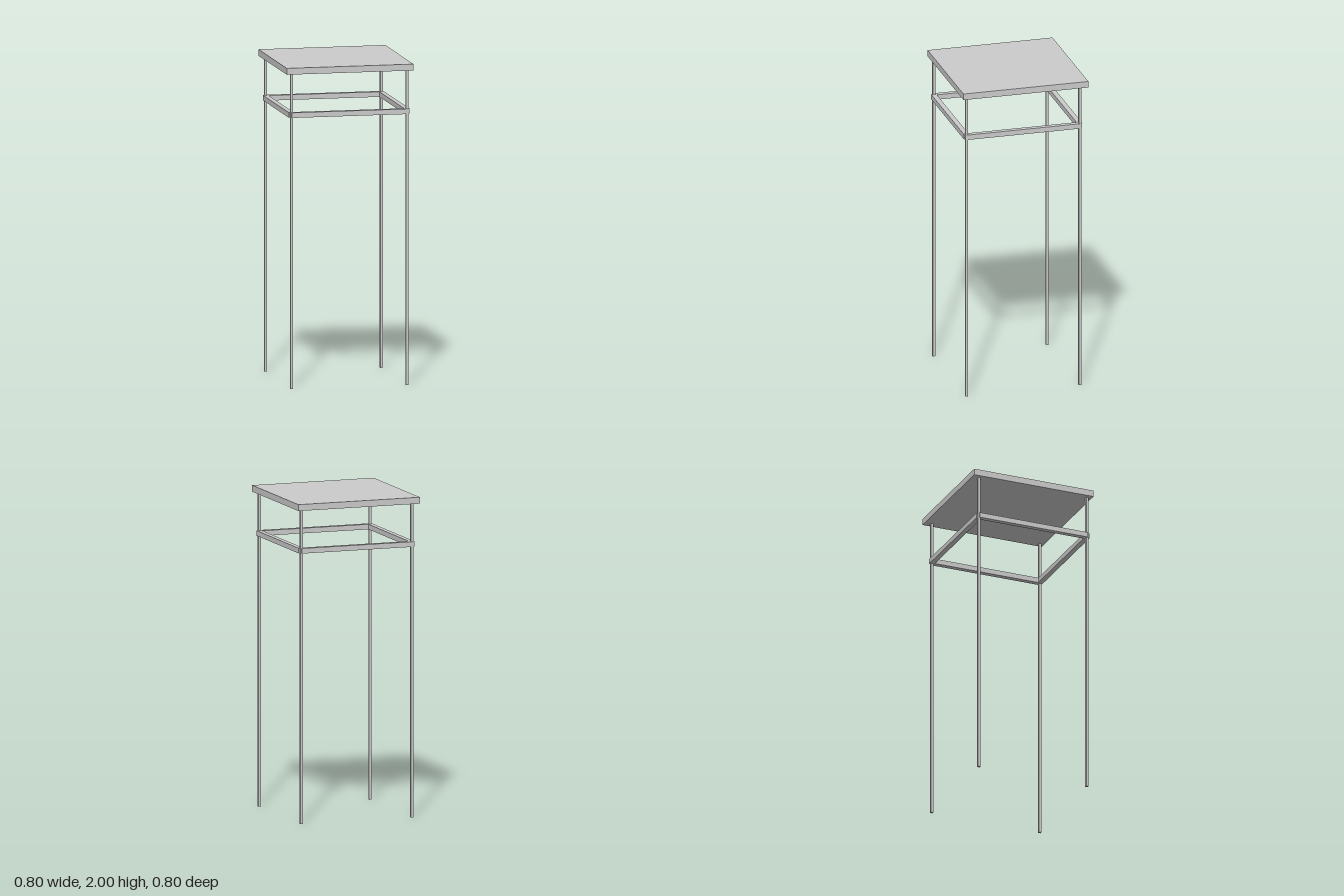
import * as THREE from 'three';

export function createModel() {
  const model = new THREE.Group();
  const material = new THREE.MeshStandardMaterial({ color: 0xcccccc, flatShading: true });

  const box = (name, w, h, d, x, y, z) => {
    const mesh = new THREE.Mesh(new THREE.BoxGeometry(w, h, d), material);
    mesh.name = name;
    mesh.position.set(x, y, z);
    model.add(mesh);
  };

  const top = 2, slab = 0.04, legWidth = 0.016, rail = 0.032, railY = 1.704;
  const legX = 0.365, frontZ = 0.371, backZ = -0.354;
  const midZ = (frontZ + backZ) / 2, spanZ = frontZ - backZ;

  // Square table top
  box('tableTop', 0.8, slab, 0.8, 0, top - slab / 2, 0);

  // Four slender legs, with rails ending at the leg centres
  const legHeight = top - slab;
  for (const [end, z] of [['front', frontZ], ['back', backZ]]) {
    for (const [side, x] of [['Left', legX], ['Right', -legX]]) {
      box(`${end}${side}Leg`, legWidth, legHeight, legWidth, x, legHeight / 2, z);
    }
    box(`${end}Rail`, 2 * legX, rail, rail, 0, railY, z);
  }

  // Side rails
  box('leftRail', rail, rail, spanZ, legX, railY, midZ);
  box('rightRail', rail, rail, spanZ, -legX, railY, midZ);

  return model;
}
